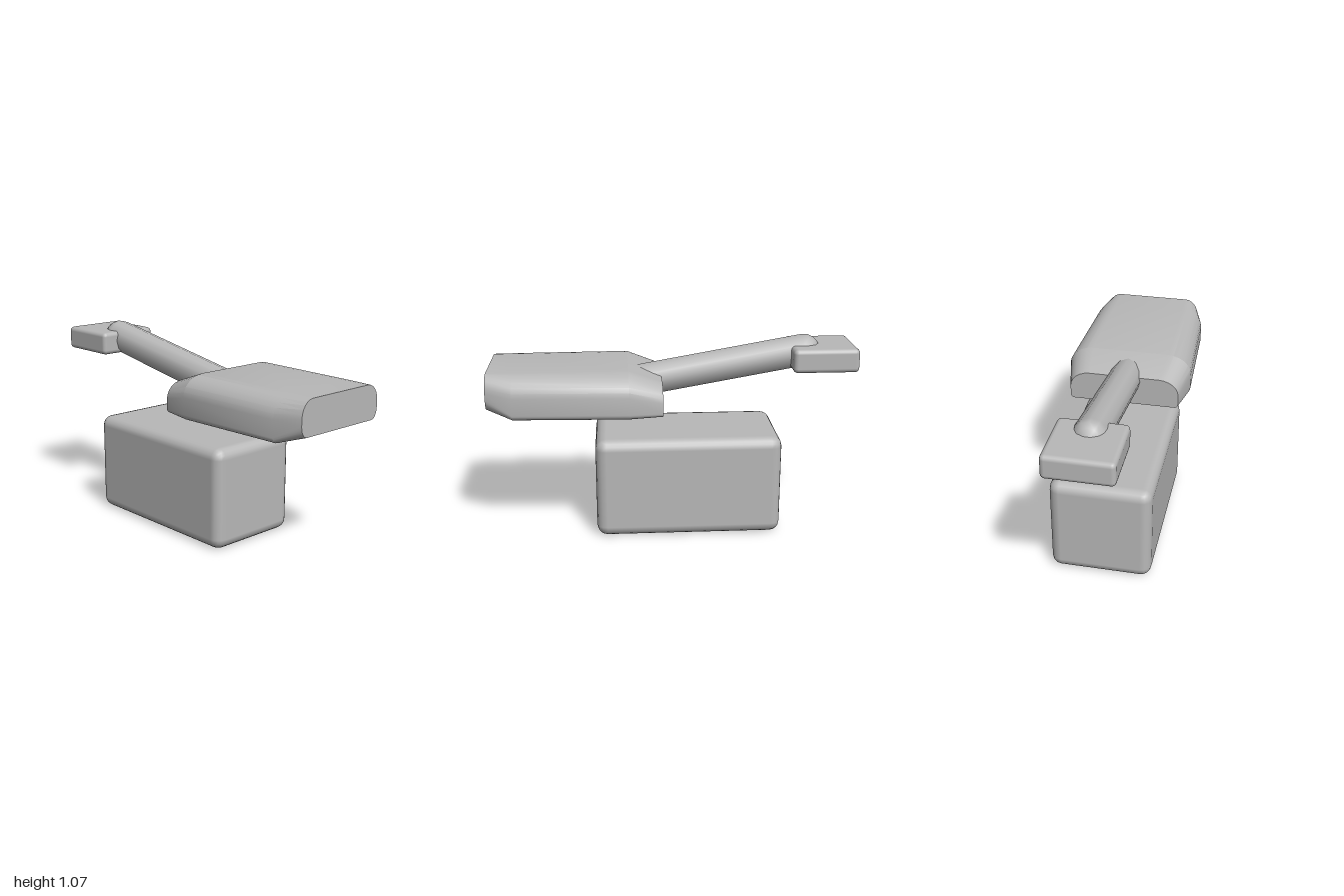
import * as THREE from 'three';
import { toCreasedNormals } from 'three/addons/utils/BufferGeometryUtils.js';
import { RoundedBoxGeometry } from 'three/addons/geometries/RoundedBoxGeometry.js';

// Cross-section: half width, bottom, top, and elliptical corner radii [rx, ry]
function section(z, w, y0, y1, [tx, ty], [bx, by]) {
  const ring = [], steps = 6;
  const corners = [
    [w - bx, y0 + by, bx, by, -Math.PI / 2],
    [w - tx, y1 - ty, tx, ty, 0],
    [-w + tx, y1 - ty, tx, ty, Math.PI / 2],
    [-w + bx, y0 + by, bx, by, Math.PI],
  ];
  for (const [cx, cy, rx, ry, start] of corners) {
    for (let i = 0; i <= steps; i++) {
      const a = start + (i / steps) * Math.PI / 2;
      ring.push([cx + rx * Math.cos(a), cy + ry * Math.sin(a), z]);
    }
  }
  return ring;
}

// Skin a list of sections running from back to front, with flat end caps
function loft(rings) {
  const n = rings[0].length, index = [];
  for (let r = 0; r < rings.length - 1; r++) {
    for (let j = 0; j < n; j++) {
      const k = (j + 1) % n;
      const a = r * n + j, b = r * n + k, c = b + n, d = a + n;
      index.push(a, b, c, a, c, d);
    }
  }
  const last = (rings.length - 1) * n;
  for (let j = 1; j < n - 1; j++) {
    index.push(0, j + 1, j);
    index.push(last, last + j, last + j + 1);
  }
  const geometry = new THREE.BufferGeometry();
  geometry.setAttribute('position', new THREE.Float32BufferAttribute(rings.flat(2), 3));
  geometry.setIndex(index);
  return toCreasedNormals(geometry, 0.36);
}

export function createModel() {
  const group = new THREE.Group();
  const grey = new THREE.MeshStandardMaterial({ color: 0xb8b8b8 });
  grey.name = 'grey';

  const add = (name, geometry, x = 0, y = 0, z = 0) => {
    const mesh = new THREE.Mesh(geometry, grey);
    mesh.name = name;
    mesh.position.set(x, y, z);
    group.add(mesh);
    return mesh;
  };

  // Large lower block
  add('lowerBlock', new RoundedBoxGeometry(0.55, 0.556, 1.015, 2, 0.058), 0, 0.278, -0.0725);

  // Tapered front body
  add('frontBody', loft([
    section(0.07, 0.305, 0.70, 0.865, [0.11, 0.09], [0.02, 0.02]),
    section(0.25, 0.348, 0.70, 0.93, [0.135, 0.11], [0.03, 0.03]),
    section(0.86, 0.325, 0.70, 0.93, [0.12, 0.11], [0.03, 0.03]),
    section(1.00, 0.28, 0.745, 0.93, [0.075, 0.09], [0.04, 0.06]),
  ]));

  // Sloping arm with a rounded tip
  const start = new THREE.Vector3(0, 0.811, 0.25);
  const end = new THREE.Vector3(0, 0.98, -0.72);
  const along = end.clone().sub(start);
  const arm = add('arm', new THREE.CapsuleGeometry(0.09, along.length(), 4, 12));
  arm.position.copy(start).add(end).multiplyScalar(0.5);
  arm.quaternion.setFromUnitVectors(new THREE.Vector3(0, 1, 0), along.normalize());

  // Small block at the rear tip
  add('rearBlock', new RoundedBoxGeometry(0.362, 0.13, 0.36, 2, 0.025), 0, 0.955, -0.82);

  return group;
}
